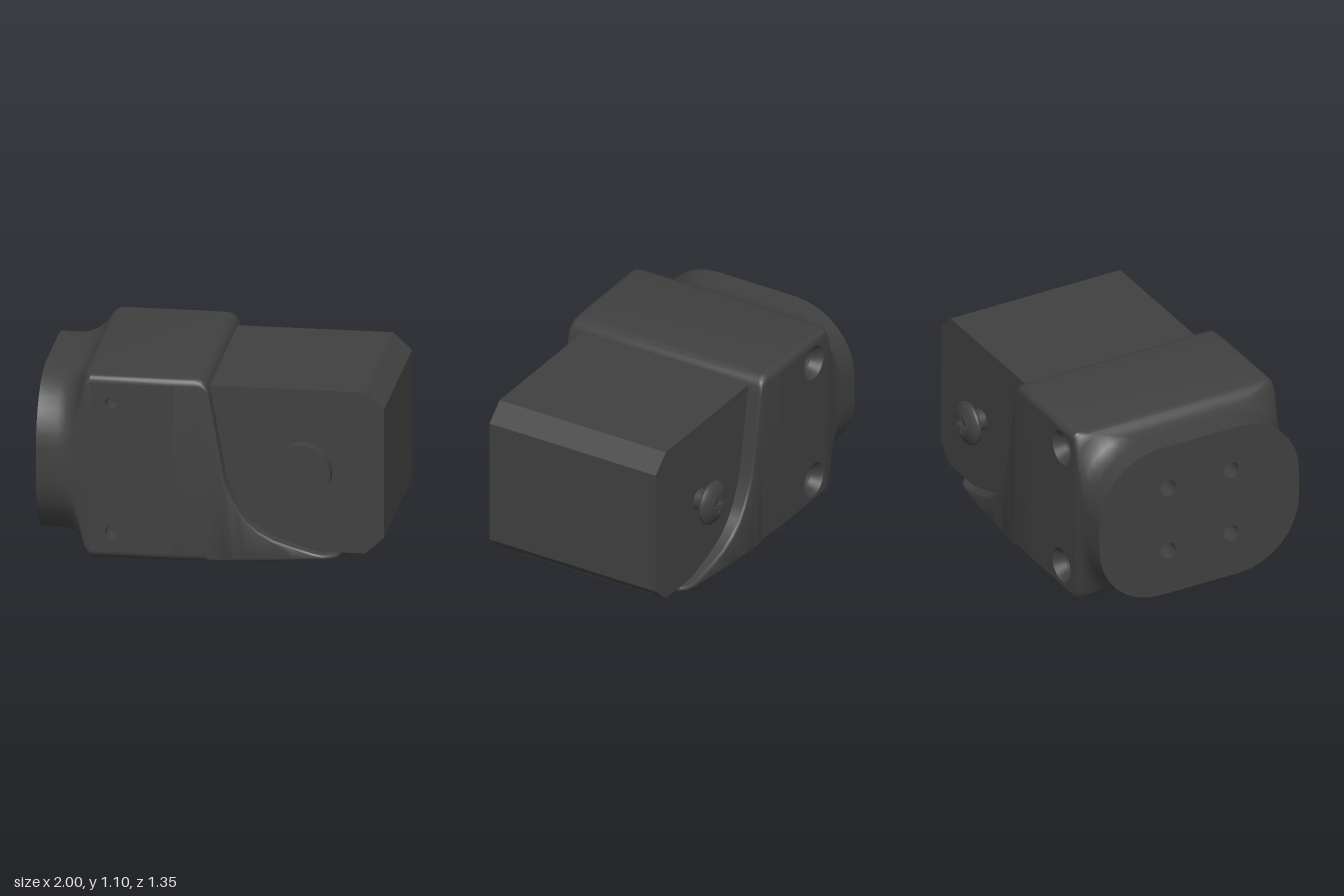
import * as THREE from 'three';
import { toCreasedNormals } from 'three/addons/utils/BufferGeometryUtils.js';

const charcoal = new THREE.MeshStandardMaterial({ color: 0x404040 });
charcoal.name = 'charcoal';

// Shell stations along x: [x, bottom, top, corner radius]
const STATIONS = [
  [-1, .07, 1.04, .4], [-.88, .07, 1.04, .4], [-.83, .07, 1.04, .37], [-.79, .065, 1.045, .31],
  [-.76, .05, 1.055, .23], [-.74, .035, 1.07, .15], [-.72, .015, 1.09, .08], [-.69, 0, 1.1, .045],
  [-.2, 0, 1.1, .045], [-.08, .002, 1.1, .045], [-.05, .003, 1.095, .045], [-.025, .004, 1.075, .04],
  [-.01, .004, 1.045, .03], [0, .005, 1, .02], [.05, .007, .72, .02], [.09, .009, .5, .02],
  [.12, .01, .42, .02], [.16, .012, .34, .02], [.21, .014, .265, .02], [.28, .018, .2, .02],
  [.37, .021, .15, .02], [.48, .026, .11, .02], [.6, .03, .075, .02], [.65, .032, .066, .02],
  [.7, .034, .064, .02], [.735, .036, .062, .02], [.75, .036, .06, .02], [.85, .04, .058, .02],
];
// Half widths along x: [x, back, front]
const WIDTHS = [[-1, .638, .677], [-.2, .638, .677], [.45, .61, .655], [.65, .588, .636],
  [.7, .57, .615], [.735, .54, .58], [.75, .46, .5], [.85, .44, .48]];

function widthAt(x) {
  let i = 0;
  while (i < WIDTHS.length - 2 && x > WIDTHS[i + 1][0]) i++;
  const [a, b] = [WIDTHS[i], WIDTHS[i + 1]];
  const t = (x - a[0]) / (b[0] - a[0]);
  return [1, 2].map((k) => a[k] + (b[k] - a[k]) * t);
}

// Rounded rectangle cross-section as [z, y] points
const ARC = 8;
function section([x, y0, y1, radius]) {
  const [back, front] = widthAt(x);
  const r = Math.min(radius, (y1 - y0) * .49);
  const centres = [[front - r, y1 - r], [r - back, y1 - r], [r - back, y0 + r], [front - r, y0 + r]];
  return centres.flatMap(([z, y], c) => Array.from({ length: ARC + 1 }, (_, k) => {
    const a = (c + k / ARC) * Math.PI / 2;
    return [z + r * Math.cos(a), y + r * Math.sin(a)];
  }));
}

// Lofted shell, leaving the two flat sides open for the drilled panels
function shellGeometry() {
  const pos = [], index = [];
  const n = 4 * (ARC + 1);
  const panelStart = STATIONS.findIndex((s) => s[0] === -.69);
  STATIONS.forEach((s) => section(s).forEach(([z, y]) => pos.push(s[0], y, z)));
  for (let i = 0; i < STATIONS.length - 1; i++) {
    for (let j = 0; j < n; j++) {
      if (i === panelStart && (j === n - 1 || j === n / 2 - 1)) continue;
      const k = (j + 1) % n, a = i * n, b = a + n;
      index.push(a + j, b + j, a + k, a + k, b + j, b + k);
    }
  }
  const last = (STATIONS.length - 1) * n;
  for (let j = 1; j < n - 1; j++) index.push(last, last + j + 1, last + j);
  const g = new THREE.BufferGeometry();
  g.setAttribute('position', new THREE.Float32BufferAttribute(pos, 3));
  g.setIndex(index);
  return toCreasedNormals(g, .6);
}

// Turned part whose axis points along +z
function turned(points, segments = 32) {
  const g = new THREE.LatheGeometry(points.map((p) => new THREE.Vector2(...p)), segments);
  g.rotateX(Math.PI / 2);
  return toCreasedNormals(g, .6);
}

function add(parent, name, geometry, x = 0, y = 0, z = 0) {
  const mesh = new THREE.Mesh(geometry, charcoal);
  mesh.name = name;
  mesh.position.set(x, y, z);
  parent.add(mesh);
  return mesh;
}

// Flat panel with sunken holes; well is a profile from the rim down to the floor
function drilledPanel(name, outline, holes, well) {
  const group = new THREE.Group();
  group.name = name;
  const shape = new THREE.Shape(outline.map((p) => new THREE.Vector2(...p)));
  for (const [x, y] of holes) {
    shape.holes.push(new THREE.Path().absarc(x, y, well[0][0], 0, Math.PI * 2, true));
    add(group, 'holeWell', turned(well), x, y, 0);
  }
  add(group, 'panelFace', new THREE.ShapeGeometry(shape, 16));
  return group;
}

export function createModel() {
  const model = new THREE.Group();
  model.name = 'jointedBracket';
  add(model, 'shell', shellGeometry());

  // Side panels: plain pin holes in front, countersunk holes behind
  const rect = [[-.245, .045], [.245, .045], [.245, 1.055], [-.245, 1.055]];
  const front = drilledPanel('frontPanel', rect, [[-.115, .94], [-.115, .165]],
    [[.04, 0], [.04, -.12], [0, -.12]]);
  front.position.set(-.445, 0, .677);
  const back = drilledPanel('backPanel', rect, [[.115, .94], [.115, .165]],
    [[.105, 0], [.06, -.06], [.06, -.09], [.045, -.09], [.045, -.2], [0, -.2]]);
  back.position.set(-.445, 0, -.638);
  back.rotation.y = Math.PI;

  // Round-cornered mounting face with four screw holes
  const corners = [-.207, .207].flatMap((z) => [-.207, .207].map((y) => [z + .02, y + .555]));
  const mount = drilledPanel('mountingFace', section(STATIONS[0]), corners,
    [[.052, 0], [.052, -.2], [0, -.2]]);
  mount.position.x = -1;
  mount.rotation.y = -Math.PI / 2;
  model.add(front, back, mount);

  // Chamfered block held in the shell
  const block = new THREE.Shape([[-.03, .07], [.89, .07], [1, .17], [1, .94], [.89, 1.04], [-.03, 1.04]]
    .map((p) => new THREE.Vector2(...p)));
  add(model, 'block', new THREE.ExtrudeGeometry(block, { depth: 1.12, bevelEnabled: false }), 0, 0, -.54);

  // Pivot boss in front
  add(model, 'pivotBoss', turned([[.17, 0], [.17, .08], [0, .08]], 48), .53, .555, .578);

  // Pivot screw behind, with a cross recess
  const screw = new THREE.Group();
  screw.name = 'pivotScrew';
  screw.position.set(.53, .555, -.54);
  screw.rotation.y = Math.PI;
  add(screw, 'screwShaft', turned([[.062, -.02], [.062, .09]]));
  add(screw, 'screwHead', turned([[0, .067], [.11, .067], [.124, .072], [.132, .085], [.13, .098],
    [.118, .11], [.095, .122], [.07, .131]], 40));
  const cap = new THREE.Shape().absarc(0, 0, .07, 0, Math.PI * 2, false);
  const a = .013, b = .052;
  cap.holes.push(new THREE.Path([[a, a], [a, b], [-a, b], [-a, a], [-b, a], [-b, -a],
    [-a, -a], [-a, -b], [a, -b], [a, -a], [b, -a], [b, a]].map((p) => new THREE.Vector2(...p))));
  add(screw, 'crossRecess', new THREE.ExtrudeGeometry(cap,
    { depth: .035, bevelEnabled: false, curveSegments: 20 }), 0, 0, .1);
  add(screw, 'recessFloor', new THREE.CircleGeometry(.07, 24), 0, 0, .101);
  model.add(screw);
  return model;
}
